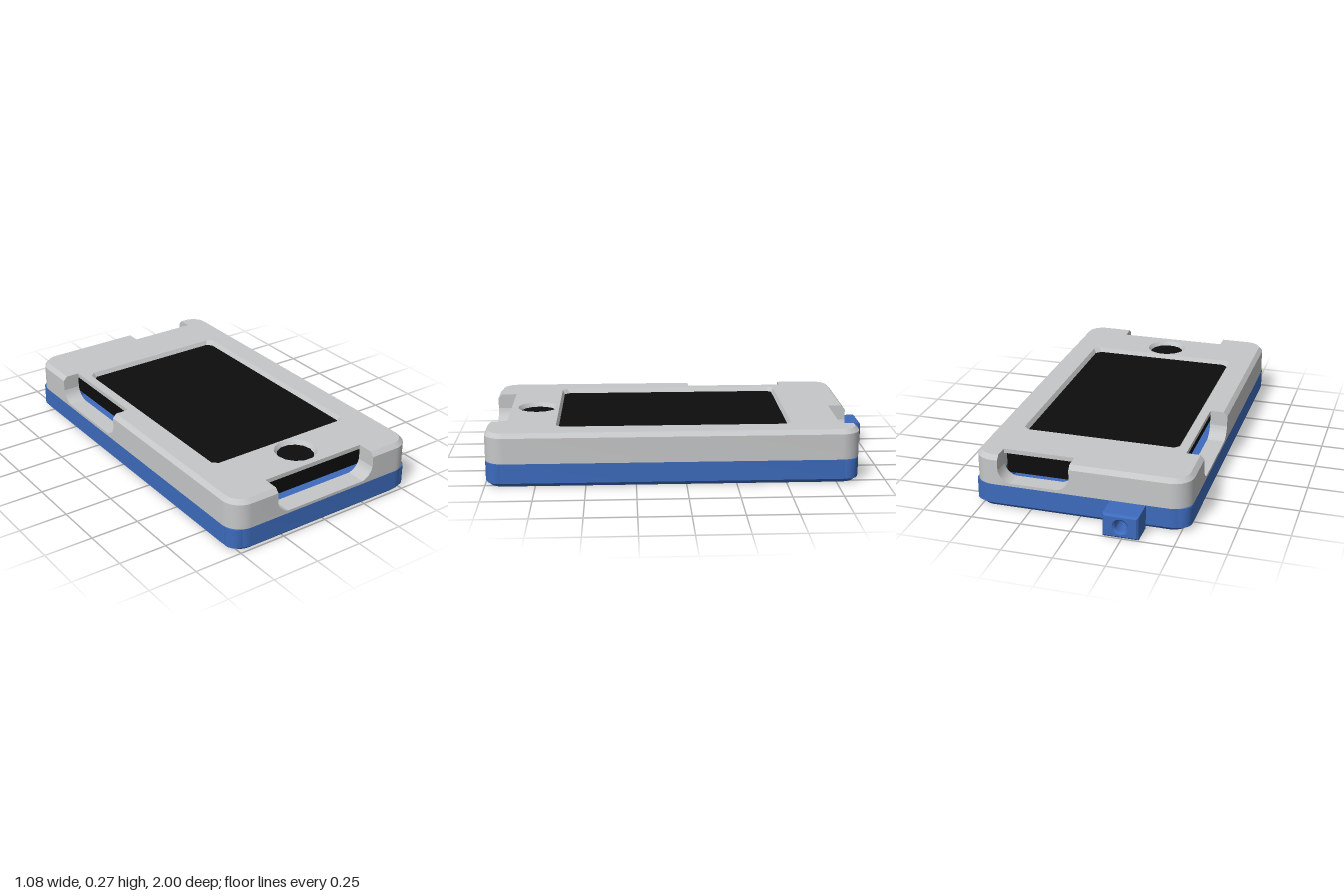
import * as THREE from 'three';
import { toCreasedNormals } from 'three/addons/utils/BufferGeometryUtils.js';

const X = 0.54, F = 1.0, B = -0.87, R = 0.1;      // outer footprint and corner radius
const IX = 0.45, IF = 0.9, IB = -0.78;            // inner faces of the walls
const SEAM = 0.12, SILL = 0.135, RIM = 0.25, TOP = 0.272, CH = 0.02;
const H = Math.PI / 2;

// Rounded footprint arcs: quarter turns at the four corners
const corners = {
  frontLeft: s => s.absarc(X - R, F - R, R, H, 0, true),
  backLeft: s => s.absarc(X - R, B + R, R, 0, -H, true),
  backRight: s => s.absarc(-X + R, B + R, R, -H, -2 * H, true),
  frontRight: s => s.absarc(-X + R, F - R, R, 2 * H, H, true),
};

function path(target, ...steps) {
  let started = false;
  for (const p of steps) {
    if (typeof p === 'function') p(target);
    else if (!started) target.moveTo(p[0], p[1]);
    else target.lineTo(p[0], p[1]);
    started = true;
  }
  target.closePath();
  return target;
}

const rect = (x0, x1, z0, z1) => path(new THREE.Path(), [x0, z0], [x1, z0], [x1, z1], [x0, z1]);
const circle = (x, z, r) => new THREE.Path().absarc(x, z, r, 0, Math.PI * 2);
const footprint = () => path(new THREE.Shape(), [-X + R, F], [X - R, F], corners.frontLeft,
  corners.backLeft, corners.backRight, corners.frontRight);

// Extrude a plan drawn in x, z between two heights
function slab(shape, y0, y1) {
  return new THREE.ExtrudeGeometry(shape, { depth: y1 - y0, bevelEnabled: false, curveSegments: 7 })
    .rotateX(H).translate(0, y1, 0);
}

// Move the vertices at one height by a rule on x and z
function reshape(geo, y, rule) {
  const p = geo.attributes.position;
  for (let i = 0; i < p.count; i++) {
    if (Math.abs(p.getY(i) - y) > 1e-4) continue;
    const [x, z] = rule(p.getX(i), p.getZ(i));
    p.setX(i, x);
    p.setZ(i, z);
  }
  return geo;
}

// Pull the outer edge inward to form a chamfer
function chamfer(x, z) {
  const cx = THREE.MathUtils.clamp(x, -X + R, X - R), cz = THREE.MathUtils.clamp(z, B + R, F - R);
  const d = Math.hypot(x - cx, z - cz), k = d > R - CH ? (R - CH) / d : 1;
  return [cx + (x - cx) * k, cz + (z - cz) * k];
}

export function createModel() {
  const grey = new THREE.MeshStandardMaterial({ color: 0xc6c7c8 });
  grey.name = 'light grey';
  const blue = new THREE.MeshStandardMaterial({ color: 0x3d6bbd });
  blue.name = 'blue';
  const black = new THREE.MeshStandardMaterial({ color: 0x0d0d0d });
  black.name = 'black';

  const model = new THREE.Group();
  const lid = new THREE.Group(), tray = new THREE.Group();
  lid.name = 'lid';
  tray.name = 'tray';
  model.add(lid, tray);
  const add = (parent, name, geo, mat) => {
    const mesh = new THREE.Mesh(toCreasedNormals(geo, 0.45), mat);
    mesh.name = name;
    parent.add(mesh);
  };

  // Tray: chamfered floor with screw holes, then a hollow wall
  const floor = footprint();
  for (const x of [-0.46, 0.46]) for (const z of [0.91, -0.78]) floor.holes.push(circle(x, z, 0.028));
  add(tray, 'trayFloor', reshape(slab(floor, 0, CH), 0, chamfer), blue);
  const trayWall = footprint();
  trayWall.holes.push(rect(-IX, IX, IB, IF));
  add(tray, 'trayWall', slab(trayWall, CH, SEAM), blue);

  // Screw posts swelling out of the tray corners
  for (const x of [-0.48, 0.48]) for (const z of [0.93, -0.8]) {
    add(tray, 'screwPost', new THREE.CylinderGeometry(0.06, 0.06, SEAM - CH, 20)
      .translate(x, (SEAM + CH) / 2, z), blue);
  }

  // Strap loop at the back, bored along z
  const loop = path(new THREE.Shape(), [-0.33, 0], [-0.155, 0], [-0.155, SEAM], [-0.33, SEAM]);
  loop.holes.push(circle(-0.243, 0.06, 0.03));
  add(tray, 'strapLoop', new THREE.ExtrudeGeometry(loop, {
    depth: 0.12, bevelThickness: 0.01, bevelSize: 0.01, bevelOffset: -0.01, bevelSegments: 1,
  }).translate(0, 0, -0.99), blue);

  // Lid: closed band below the cutouts
  const band = footprint();
  band.holes.push(rect(-IX, IX, IB, IF));
  add(lid, 'lidBand', slab(band, SEAM, SILL), grey);

  // Lid walls between the three cutouts
  const walls = [
    path(new THREE.Shape(), [0.29, F], [X - R, F], corners.frontLeft, corners.backLeft,
      [0.41, B], [0.41, IB], [IX, IB], [IX, IF], [0.29, IF]),
    path(new THREE.Shape(), [0.05, B], [-X + R, B], corners.backRight, [-X, -0.58],
      [-IX, -0.58], [-IX, IB], [0.05, IB]),
    path(new THREE.Shape(), [-X, -0.06], [-X, F - R], corners.frontRight, [-0.29, F],
      [-0.29, IF], [-IX, IF], [-IX, -0.06]),
  ];
  for (const w of walls) add(lid, 'lidWall', slab(w, SILL, RIM), grey);

  // Rounded lower corners of each cutout
  const fillets = (a, b, depth, place) => {
    for (const [u, s] of [[a, 1], [b, -1]]) {
      const r = 0.06;
      const shape = new THREE.Shape();
      shape.moveTo(u, SILL);
      shape.lineTo(u + s * r, SILL);
      shape.quadraticCurveTo(u + s * r * 0.2, SILL + r * 0.2, u, SILL + r);
      shape.closePath();
      add(lid, 'cutoutCorner', place(new THREE.ExtrudeGeometry(shape,
        { depth, bevelEnabled: false, curveSegments: 6 })), grey);
    }
  };
  fillets(-0.29, 0.29, F - IF, g => g.translate(0, 0, IF));
  fillets(0.05, 0.41, IB - B, g => g.translate(0, 0, B));
  fillets(-0.58, -0.06, X - IX, g => g.translate(0, 0, IX).rotateY(-H));

  // Top plate with notches, screen window and button hole
  const plate = path(new THREE.Shape(), [0.29, IF], [0.29, F], [X - R, F], corners.frontLeft,
    corners.backLeft, [0.41, B], [0.41, IB], [0.05, IB], [0.05, B], [-X + R, B],
    corners.backRight, [-X, -0.58], [-IX, -0.58], [-IX, -0.06], [-X, -0.06],
    corners.frontRight, [-0.29, F], [-0.29, IF]);
  const w = 0.39, z0 = -0.525, z1 = 0.637, c = 0.025, bz = 0.76, br = 0.092;
  plate.holes.push(path(new THREE.Path(), [-w + c, z0], [w - c, z0], [w, z0 + c], [w, z1 - c],
    [w - c, z1], [-w + c, z1], [-w, z1 - c], [-w, z0 + c]), circle(0, bz, br));
  const zm = (z0 + z1) / 2;
  add(lid, 'topPlate', reshape(slab(plate, RIM, TOP), TOP, (x, z) => {
    if (Math.hypot(x, z - bz) < br + 0.005) return [x * 1.15, bz + (z - bz) * 1.15];
    if (Math.abs(x) < w + 0.005 && z > z0 - 0.005 && z < z1 + 0.005) return [x * 1.035, zm + (z - zm) * 1.02];
    return chamfer(x, z);
  }), grey);

  // Device held inside, showing through the window and cutouts
  add(model, 'device', new THREE.BoxGeometry(0.82, RIM - 0.13, 1.592)
    .translate(0, (RIM + 0.13) / 2, 0.054), black);

  return model;
}
